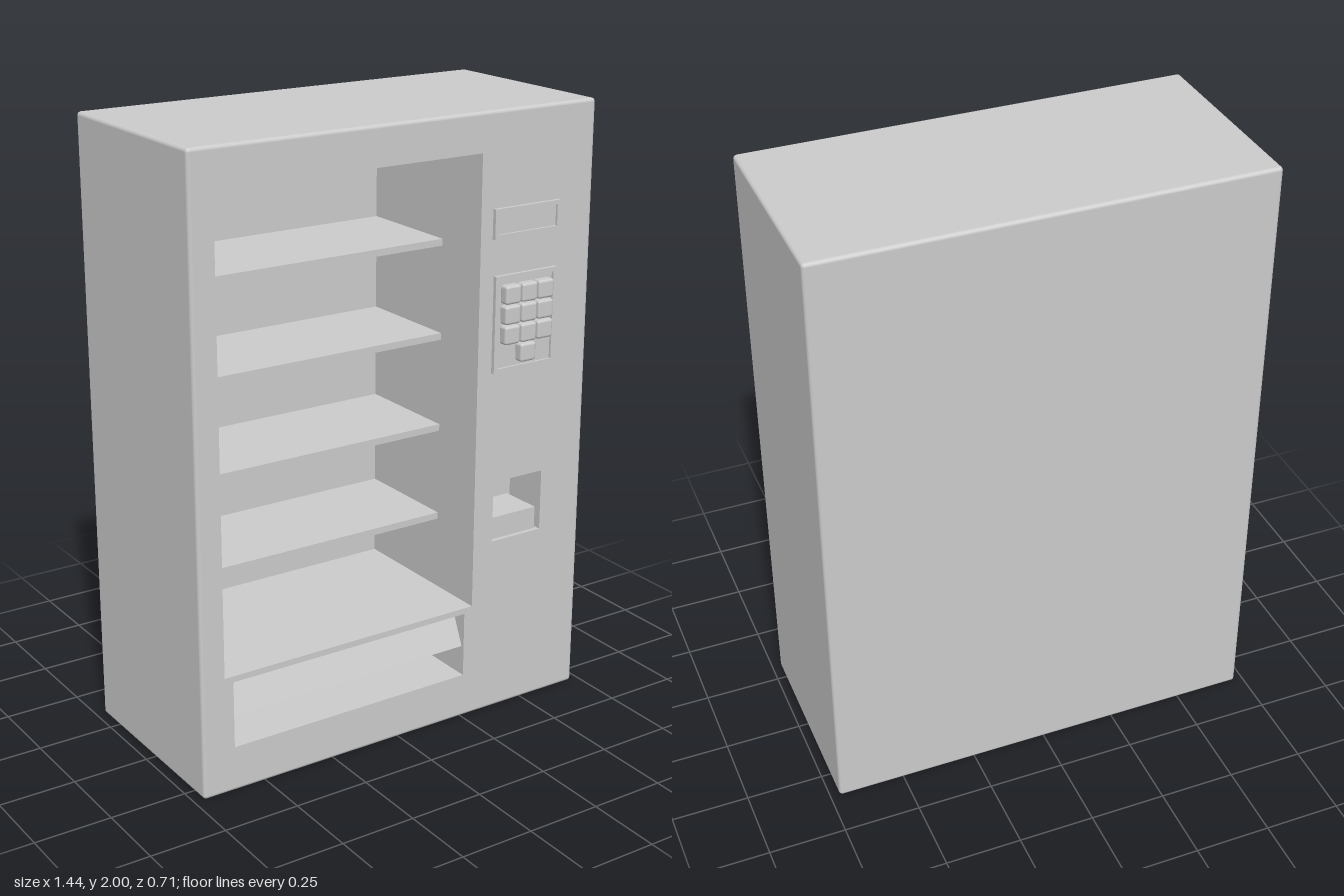
import * as THREE from 'three';
import { RoundedBoxGeometry } from 'three/addons/geometries/RoundedBoxGeometry.js';

const W = 1.44, H = 2, BACK = -0.355, FRONT = 0.32, R = 0.012;

// Openings in the front: [x0, x1, y0, y1, depth]
const OPENINGS = {
  displayWindow: [-0.64, 0.285, 0.39, 1.875, 0.56],
  deliveryBay: [-0.61, 0.255, 0.15, 0.37, 0.21],
  coinReturn: [0.36, 0.555, 0.6, 0.805, 0.16],
};

export function createModel() {
  const group = new THREE.Group();
  const material = new THREE.MeshStandardMaterial({ color: 0xcccccc });

  const add = (name, geometry, x = 0, y = 0, z = 0, parent = group) => {
    const mesh = new THREE.Mesh(geometry, material);
    mesh.name = name;
    mesh.position.set(x, y, z);
    parent.add(mesh);
    return mesh;
  };
  // Box from its limits
  const box = (name, x0, x1, y0, y1, z0, z1) =>
    add(name, new THREE.BoxGeometry(x1 - x0, y1 - y0, z1 - z0), (x0 + x1) / 2, (y0 + y1) / 2, (z0 + z1) / 2);
  const rect = (target, x0, x1, y0, y1) => {
    target.moveTo(x0, y0).lineTo(x1, y0).lineTo(x1, y1).lineTo(x0, y1).closePath();
    return target;
  };

  // Cabinet shell: rounded box without its flat front
  const shell = new RoundedBoxGeometry(W, H, FRONT - BACK, 3, R);
  const p = shell.attributes.position, n = shell.attributes.normal;
  const pos = [], nor = [], zMax = (FRONT - BACK) / 2 - 1e-5;
  for (let i = 0; i < p.count; i += 3) {
    if ([0, 1, 2].every((k) => p.getZ(i + k) > zMax)) continue;
    for (let k = i; k < i + 3; k++) {
      pos.push(p.getX(k), p.getY(k), p.getZ(k));
      nor.push(n.getX(k), n.getY(k), n.getZ(k));
    }
  }
  const cabinet = new THREE.BufferGeometry();
  cabinet.setAttribute('position', new THREE.Float32BufferAttribute(pos, 3));
  cabinet.setAttribute('normal', new THREE.Float32BufferAttribute(nor, 3));
  add('cabinet', cabinet, 0, H / 2, (FRONT + BACK) / 2);

  // Front panel with openings, and an inward-facing open box behind each
  const panel = rect(new THREE.Shape(), -W / 2 + R, W / 2 - R, R, H - R);
  for (const [name, [x0, x1, y0, y1, depth]] of Object.entries(OPENINGS)) {
    panel.holes.push(rect(new THREE.Path(), x0, x1, y0, y1));
    const inner = new THREE.BoxGeometry(x1 - x0, y1 - y0, depth).scale(-1, -1, -1);
    inner.setIndex(Array.from(inner.index.array).slice(0, 30));
    inner.computeVertexNormals();
    add(name, inner, (x0 + x1) / 2, (y0 + y1) / 2, FRONT - depth / 2);
  }
  add('frontPanel', new THREE.ShapeGeometry(panel), 0, 0, FRONT);

  // Shelves
  for (let i = 0; i < 4; i++) {
    const y = 0.63 + i * 0.307;
    box('shelf', -0.64, 0.285, y, y + 0.022, -0.24, 0.125);
  }

  // Tilted delivery flap, hinged at the top
  const flap = add('deliveryFlap', new THREE.BoxGeometry(0.863, 0.13, 0.008), -0.1775, 0.309, 0.28);
  flap.rotation.x = -0.42;

  // Coin cup lip
  box('coinCup', 0.367, 0.545, 0.6, 0.675, 0.161, 0.305);

  // Raised frame around a slightly lower plate
  const framed = (name, x0, x1, y0, y1, rim) => {
    const outline = rect(new THREE.Shape(), x0, x1, y0, y1);
    outline.holes.push(rect(new THREE.Path(), x0 + rim, x1 - rim, y0 + rim, y1 - rim));
    add(name + 'Frame', new THREE.ExtrudeGeometry(outline, { depth: 0.013, bevelEnabled: false }), 0, 0, FRONT);
    box(name + 'Plate', x0 + rim, x1 - rim, y0 + rim, y1 - rim, FRONT - 0.002, FRONT + 0.005);
  };
  framed('screen', 0.33, 0.585, 1.605, 1.7, 0.014);
  framed('keypad', 0.338, 0.578, 1.175, 1.488, 0.014);

  // Keys: three rows of three and one below the middle
  const keys = new THREE.Group();
  keys.name = 'keys';
  group.add(keys);
  const key = new RoundedBoxGeometry(0.06, 0.06, 0.036, 2, 0.009);
  for (let i = 0; i < 10; i++) {
    const col = i === 9 ? 1 : i % 3, row = Math.floor(i / 3);
    add('key', key, 0.394 + col * 0.064, 1.428 - row * 0.065, 0.337, keys);
  }

  return group;
}
